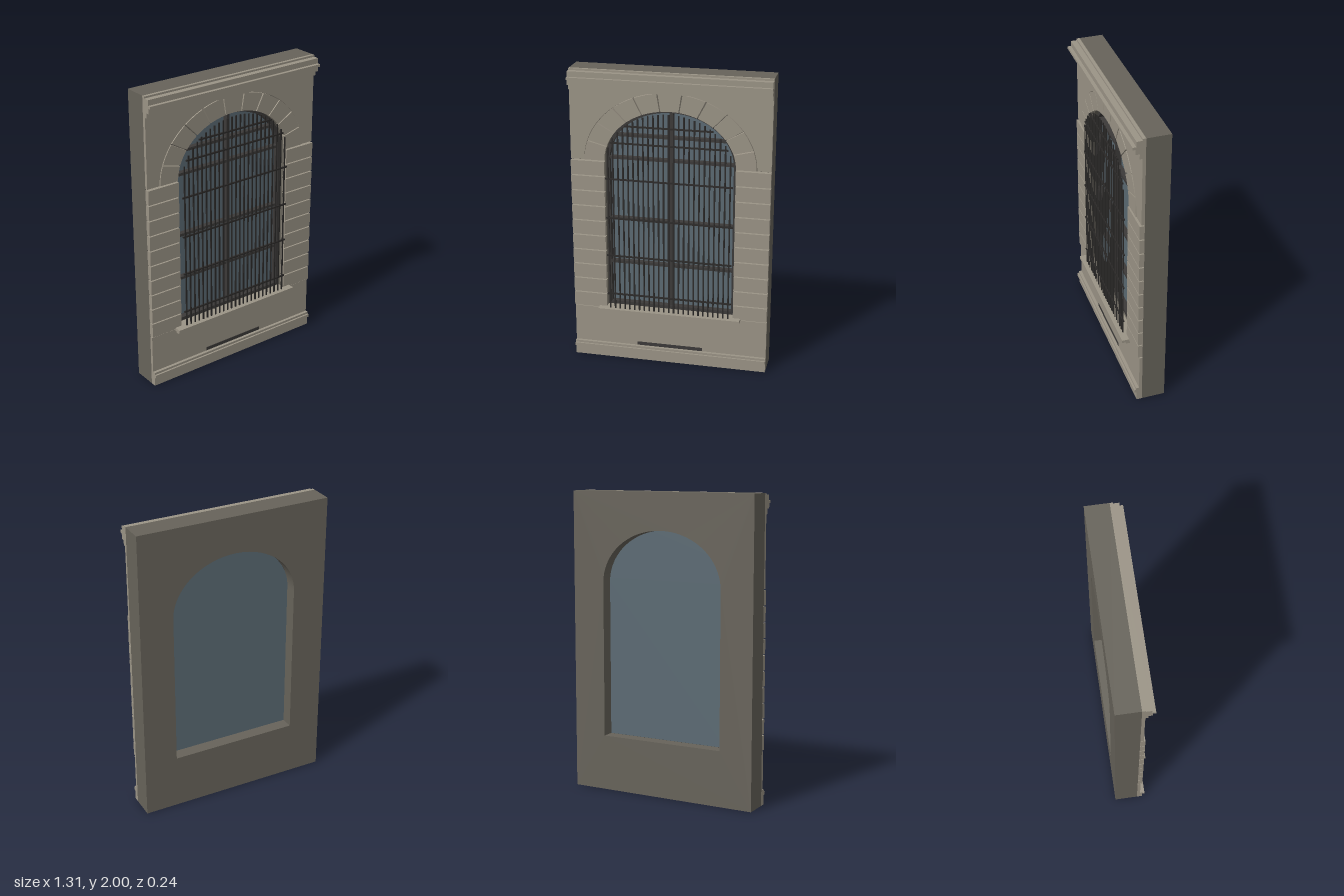
import * as THREE from 'three';

const HALF_W = 0.655;        // half width of the facade
const RX = 0.43, RY = 0.355; // arch half-axes
const SPRING = 1.4;          // height where the arch starts
const SILL = 0.37;           // bottom of the opening
const WALL_Z = 0.037;        // front of the core wall

export function createModel() {
  const mat = (name, color, extra = {}) => Object.assign(new THREE.MeshStandardMaterial({ color, ...extra }), { name });
  const stone = mat('light stone', 0x9b9486);
  const core = mat('dark stone', 0x67635a);
  const iron = mat('iron', 0x2c2a29);
  const frameMat = mat('window frame', 0x3c3a39);
  const glassMat = mat('glass', 0x5b6a73, { side: THREE.DoubleSide });

  const model = new THREE.Group();
  model.name = 'archedWindowFacade';

  const add = (parent, name, geo, material) => {
    const m = new THREE.Mesh(geo, material);
    m.name = name;
    parent.add(m);
    return m;
  };
  // box given by its limits on each axis
  const box = (parent, name, material, x0, x1, y0, y1, z0, z1) => {
    const m = add(parent, name, new THREE.BoxGeometry(x1 - x0, y1 - y0, z1 - z0), material);
    m.position.set((x0 + x1) / 2, (y0 + y1) / 2, (z0 + z1) / 2);
    return m;
  };
  const slab = (parent, name, material, shape, z0, z1, segments = 40) => {
    const geo = new THREE.ExtrudeGeometry(shape, { depth: z1 - z0, bevelEnabled: false, curveSegments: segments });
    geo.translate(0, 0, z0);
    return add(parent, name, geo, material);
  };
  const group = (name) => {
    const g = new THREE.Group();
    g.name = name;
    model.add(g);
    return g;
  };
  // arched outline, shrunk inwards by an inset
  const archOutline = (inset, Type = THREE.Shape) => {
    const p = new Type();
    p.moveTo(-RX + inset, SILL + inset);
    p.lineTo(RX - inset, SILL + inset);
    p.lineTo(RX - inset, SPRING);
    p.absellipse(0, SPRING, RX - inset, RY - inset, 0, Math.PI, false, 0);
    p.closePath();
    return p;
  };
  const archTop = (x, inset) =>
    SPRING + (RY - inset) * Math.sqrt(Math.max(0, 1 - (x / (RX - inset)) ** 2));
  const archHalfWidth = (y, inset) =>
    y < SPRING ? RX - inset : (RX - inset) * Math.sqrt(Math.max(0, 1 - ((y - SPRING) / (RY - inset)) ** 2));

  // Core wall with arched opening
  const wall = new THREE.Shape();
  wall.moveTo(-HALF_W, 0);
  wall.lineTo(HALF_W, 0);
  wall.lineTo(HALF_W, 2);
  wall.lineTo(-HALF_W, 2);
  wall.closePath();
  wall.holes.push(archOutline(0, THREE.Path));
  slab(model, 'coreWall', core, wall, -0.118, WALL_Z);

  // Horizontal mouldings: [bottom, top, front z]
  const courses = (name, rows) => {
    const g = group(name);
    rows.forEach(([y0, y1, z]) => box(g, name + 'Course', stone, -HALF_W, HALF_W, y0, y1, WALL_Z, z));
  };
  courses('plinth', [[0, 0.064, 0.074], [0.064, 0.085, 0.09], [0.085, 0.1, 0.078]]);
  courses('dado', [[0.1, 0.356, 0.058]]);
  courses('cornice', [
    [1.868, 1.902, 0.075], [1.902, 1.936, 0.1], [1.936, 1.953, 0.118],
    [1.953, 1.988, 0.095], [1.988, 2, 0.058],
  ]);

  // Rusticated blocks either side of the opening
  const blocks = group('rusticatedBlocks');
  const step = (SPRING - 0.361) / 10;
  for (let i = 0; i < 10; i++) {
    const y0 = 0.361 + i * step + 0.004, y1 = y0 + step - 0.008;
    box(blocks, 'rightBlock', stone, -HALF_W, -RX, y0, y1, WALL_Z, 0.069);
    box(blocks, 'leftBlock', stone, RX, HALF_W, y0, y1, WALL_Z, 0.069);
  }

  // Upper panel around the outer curve of the arch, with a hairline joint
  const OX = 0.562, OY = 0.472, JOINT = 0.003, panelBase = SPRING + 0.004;
  const panel = new THREE.Shape();
  panel.moveTo(OX + JOINT, panelBase);
  panel.lineTo(HALF_W, panelBase);
  panel.lineTo(HALF_W, 1.895);
  panel.lineTo(-HALF_W, 1.895);
  panel.lineTo(-HALF_W, panelBase);
  panel.lineTo(-OX - JOINT, panelBase);
  panel.absellipse(0, SPRING, OX + JOINT, OY + JOINT, Math.PI - 0.01, 0.01, true, 0);
  panel.closePath();
  slab(model, 'upperPanel', stone, panel, WALL_Z, 0.058);

  // Eleven wedge stones with open joints
  const arch = group('archStones');
  const COUNT = 11, gap = 0.008;
  for (let i = 0; i < COUNT; i++) {
    const a = (i * Math.PI) / COUNT + gap, b = ((i + 1) * Math.PI) / COUNT - gap;
    const s = new THREE.Shape();
    s.absellipse(0, SPRING, OX, OY, a, b, false, 0);
    s.lineTo(RX * Math.cos(b), SPRING + RY * Math.sin(b));
    s.absellipse(0, SPRING, RX, RY, b, a, true, 0);
    s.closePath();
    slab(arch, 'wedgeStone', stone, s, WALL_Z, 0.062, 8);
  }

  // Window sill
  const sill = group('sill');
  box(sill, 'sillSlab', stone, -0.48, 0.48, 0.355, 0.375, 0.02, 0.117);
  box(sill, 'sillMoulding', stone, -0.465, 0.465, 0.33, 0.355, WALL_Z, 0.085);

  // Glass and window frame
  slab(model, 'glass', glassMat, archOutline(0.002), -0.037, -0.032);
  const frame = group('windowFrame');
  const border = archOutline(0);
  border.holes.push(archOutline(0.022, THREE.Path));
  slab(frame, 'frameBorder', frameMat, border, -0.032, 0.01);
  box(frame, 'mullion', frameMat, -0.011, 0.011, SILL, SPRING + RY - 0.01, -0.032, 0.005);
  [0.68, 0.99, 1.41, 1.565].forEach((y) => {
    const w = archHalfWidth(y, 0.01);
    box(frame, 'transom', frameMat, -w, w, y - 0.009, y + 0.009, -0.032, 0.003);
  });

  // Iron grille of flat bars in front of the window
  const grille = group('grille');
  const GZ = 0.086;
  for (let i = -12; i <= 12; i++) {
    const x = i * 0.0333;
    box(grille, 'uprightBar', iron, x - 0.0048, x + 0.0048, 0.374, archTop(x, 0.012), GZ - 0.003, GZ + 0.003);
  }
  [0.48, 0.755, 1.02, 1.29, 1.535, 1.65].forEach((y) => {
    const w = archHalfWidth(y, 0.012);
    box(grille, 'crossBar', iron, -w, w, y - 0.005, y + 0.005, GZ - 0.005, GZ + 0.005);
  });

  // Low vent slot in the dado
  box(model, 'ventSlot', frameMat, -0.225, 0.225, 0.101, 0.125, 0.055, 0.0595);
  return model;
}
